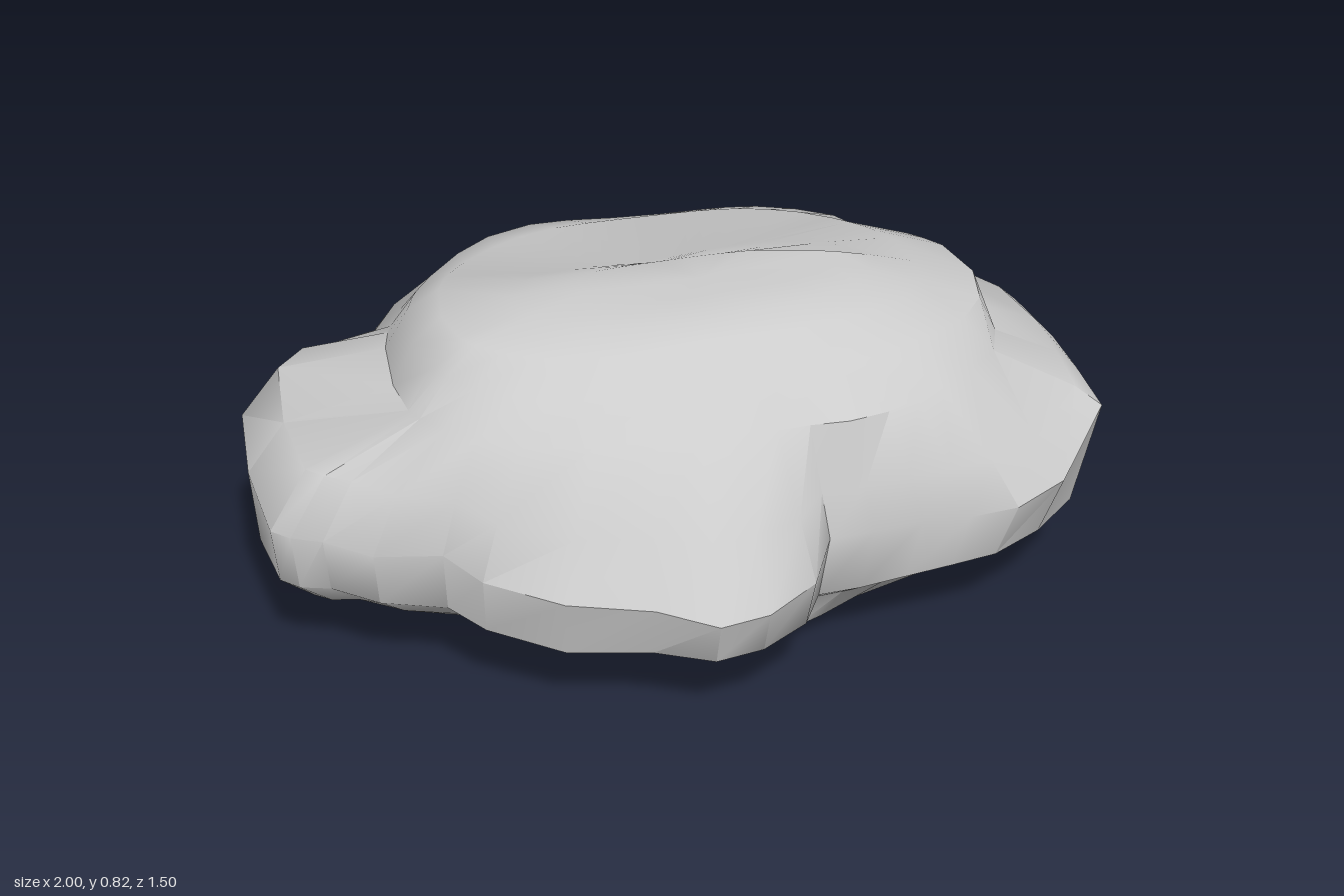
import * as THREE from 'three';
import { toCreasedNormals } from 'three/addons/utils/BufferGeometryUtils.js';

// Widest outline of the boulder: x, z and height of its upper rim
const OUTLINE = [
  [1, 0.3, 0.47], [0.995, 0.15, 0.49], [0.99, 0, 0.5], [0.97, -0.2, 0.5], [0.93, -0.28, 0.5], [0.86, -0.32, 0.53],
  [0.76, -0.33, 0.54], [0.72, -0.38, 0.54], [0.7, -0.5, 0.54], [0.6, -0.57, 0.5], [0.5, -0.64, 0.47],
  [0.43, -0.71, 0.44], [0.36, -0.75, 0.43], [0.18, -0.74, 0.44], [0, -0.73, 0.44], [-0.17, -0.72, 0.43],
  [-0.32, -0.71, 0.42], [-0.5, -0.67, 0.42], [-0.6, -0.57, 0.44], [-0.66, -0.42, 0.46], [-0.8, -0.37, 0.46],
  [-0.9, -0.36, 0.44], [-0.98, -0.25, 0.43], [-1, 0, 0.42], [-0.98, 0.2, 0.38], [-0.94, 0.24, 0.38],
  [-0.87, 0.26, 0.37], [-0.77, 0.35, 0.37], [-0.62, 0.4, 0.38], [-0.55, 0.5, 0.36], [-0.39, 0.62, 0.35],
  [-0.2, 0.68, 0.34], [-0.07, 0.75, 0.32], [0.05, 0.73, 0.32], [0.18, 0.65, 0.33], [0.25, 0.53, 0.36],
  [0.36, 0.525, 0.36], [0.48, 0.515, 0.36], [0.6, 0.51, 0.35], [0.72, 0.5, 0.35], [0.86, 0.43, 0.36],
];

// Point at the outline point's bearing on a rounded ring with its own reach
// to the right (xr), left (xl), front (zf) and back (zb), kept inside the outline
function ringPoint([x, z], { xr, xl, zf, zb, y, p = 2.3, yFront = y, yBack = y, limit = 0.87 }) {
  const t = Math.atan2(z, x), c = Math.cos(t), s = Math.sin(t);
  const rx = c > 0 ? xr : xl, rz = s > 0 ? zf : zb;
  const reach = (Math.abs(c / rx) ** p + Math.abs(s / rz) ** p) ** (-1 / p);
  const r = Math.min(reach, limit * Math.hypot(x, z));
  return new THREE.Vector3(r * c, y + ((s > 0 ? yFront : yBack) - y) * Math.abs(s), r * s);
}

// Small lumps worn into the surface
function weather(v, amount) {
  v.y += amount * (Math.sin(v.x * 9 + v.z * 4) + Math.sin(v.z * 13 - v.x * 5));
  return v;
}

function buildBoulder() {
  const shoulder = { xr: 0.8, xl: 0.65, zf: 0.485, zb: 0.61, y: 0.6, yFront: 0.645, yBack: 0.625, p: 2.4 };
  const ring = (spec, lump = 0) => OUTLINE.map((o) => weather(ringPoint(o, spec), lump));

  // Side wall: upper rim, undercut lower rim, belly below and lip above
  const rim = OUTLINE.map(([x, z, y]) => new THREE.Vector3(x, y, z));
  const low = rim.map((v) => weather(new THREE.Vector3(
    v.x * (v.x > 0 ? 0.945 : 0.985),
    0.2 + (v.x < 0 ? 0.04 : 0.01) * v.x * v.x,
    v.z * (v.z > 0 ? 0.95 : v.x > 0 ? 0.89 : 0.92)), 0.005));
  const belly = low.map((v) => weather(
    new THREE.Vector3(v.x * 0.92, 0.148 + 0.025 * Math.abs(v.x), v.z * 0.89), 0.005));
  const lip = rim.map((v, i) => {
    const end = Math.abs(v.x) ** 3;
    const q = v.clone().lerp(ringPoint(OUTLINE[i], shoulder), 0.42 - 0.16 * end);
    q.y += (v.x < 0 ? 0.085 : 0.02) * end;
    return weather(q, 0.005);
  });

  // Rings from the underside to the crown
  const rings = [
    ring({ xr: 0.24, xl: 0.28, zf: 0.05, zb: 0.18, y: 0.015, yBack: 0.025 }),
    ring({ xr: 0.31, xl: 0.37, zf: 0.1, zb: 0.24, y: 0.05 }),
    ring({ xr: 0.58, xl: 0.6, zf: 0.46, zb: 0.4, y: 0.105, yFront: 0.06, yBack: 0.095, p: 2 }, 0.005),
    belly, low, rim, lip,
    ring(shoulder, 0.008),
    ring({ xr: 0.77, xl: 0.6, zf: 0.36, zb: 0.5, y: 0.7, yBack: 0.718, limit: 0.82 }, 0.008),
    ring({ xr: 0.62, xl: 0.53, zf: 0.29, zb: 0.39, y: 0.76, yFront: 0.775, limit: 0.75 }, 0.005),
    ring({ xr: 0.5, xl: 0.37, zf: 0.22, zb: 0.15, y: 0.795, yBack: 0.77 }, 0.003),
    ring({ xr: 0.41, xl: 0.22, zf: 0.14, zb: 0.05, y: 0.816, yFront: 0.81 }, 0.003),
  ];

  const n = OUTLINE.length, pos = [], index = [];
  for (const r of rings) for (const v of r) pos.push(v.x, v.y, v.z);
  const bottom = n * rings.length, top = bottom + 1;
  pos.push(-0.02, 0, -0.03, 0.08, 0.8, 0.03);
  for (let i = 0; i < n; i++) {
    const j = (i + 1) % n, last = (rings.length - 1) * n;
    for (let k = 0; k < rings.length - 1; k++) {
      const a = k * n + i, b = k * n + j;
      index.push(a, b, b + n, a, b + n, a + n);
    }
    index.push(bottom, j, i, top, last + i, last + j);
  }
  const geo = new THREE.BufferGeometry();
  geo.setAttribute('position', new THREE.Float32BufferAttribute(pos, 3));
  geo.setIndex(index);
  return toCreasedNormals(geo, 0.72);
}

export function createModel() {
  const group = new THREE.Group();
  group.name = 'rock';
  const boulder = new THREE.Mesh(buildBoulder(), new THREE.MeshStandardMaterial({ color: 0xcccccc }));
  boulder.name = 'boulder';
  group.add(boulder);
  return group;
}
